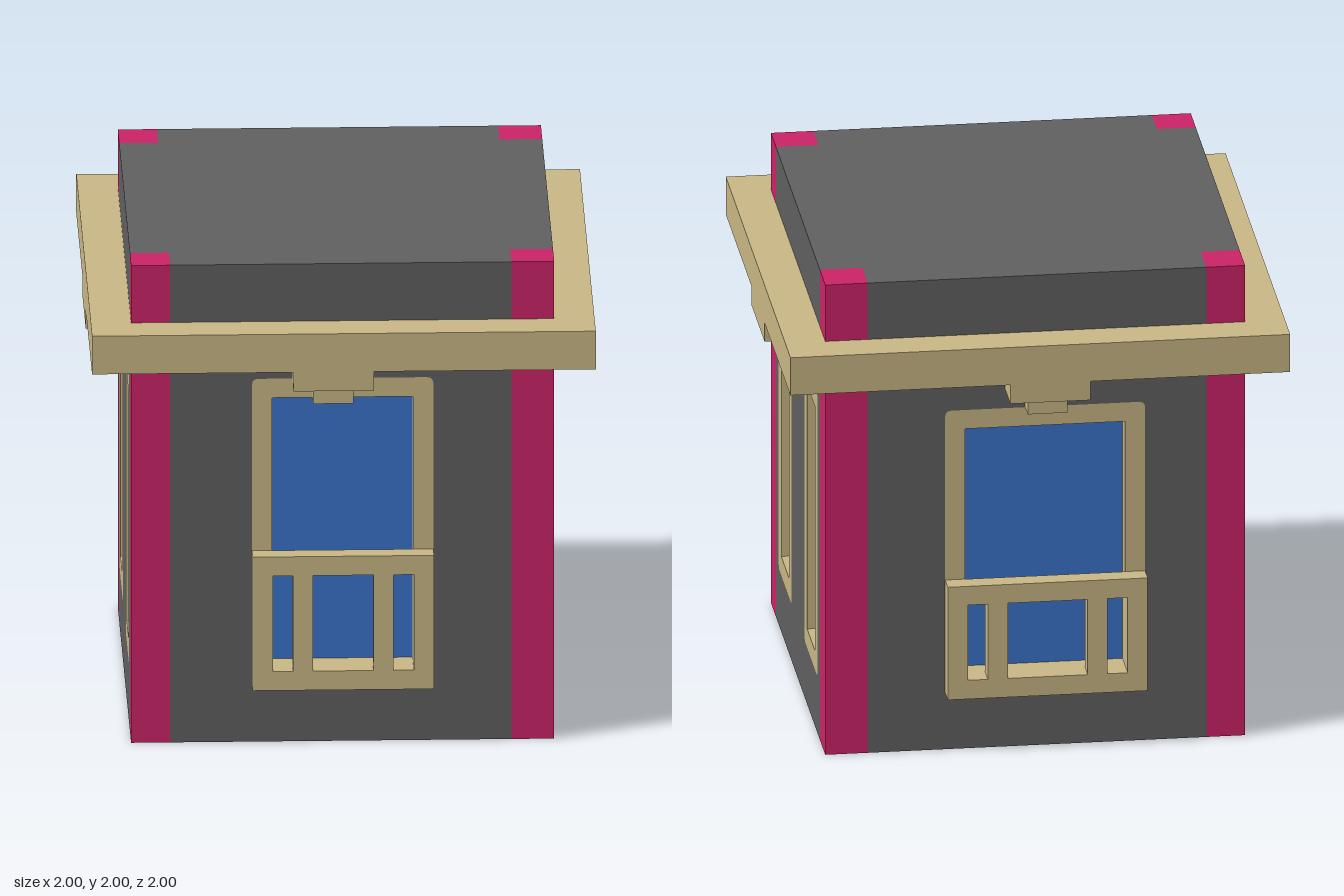
import * as THREE from 'three';

const material = (name, color) => {
  const m = new THREE.MeshStandardMaterial({ color });
  m.name = name;
  return m;
};

export function createModel() {
  const grey = material('wallGrey', 0x606060);
  const pink = material('cornerPink', 0xcc2366);
  const tan = material('trimTan', 0xcab785);
  const blue = material('glassBlue', 0x3b74cd);
  const model = new THREE.Group();
  model.name = 'house';

  const add = (parent, name, geometry, mat) => {
    const mesh = new THREE.Mesh(geometry, mat);
    mesh.name = name;
    parent.add(mesh);
    return mesh;
  };
  // box given by its minimum and maximum corners
  const box = (parent, name, mat, x0, x1, y0, y1, z0, z1) =>
    add(parent, name, new THREE.BoxGeometry(x1 - x0, y1 - y0, z1 - z0), mat)
      .position.set((x0 + x1) / 2, (y0 + y1) / 2, (z0 + z1) / 2);

  // rectangle [x0, x1, y0, y1] with slightly rounded corners
  const outline = ([x0, x1, y0, y1], r = 0, Type = THREE.Shape) => {
    const s = new Type();
    s.moveTo(x0 + r, y0).lineTo(x1 - r, y0);
    if (r) s.quadraticCurveTo(x1, y0, x1, y0 + r);
    s.lineTo(x1, y1 - r);
    if (r) s.quadraticCurveTo(x1, y1, x1 - r, y1);
    s.lineTo(x0 + r, y1);
    if (r) s.quadraticCurveTo(x0, y1, x0, y1 - r);
    s.lineTo(x0, y0 + r);
    if (r) s.quadraticCurveTo(x0, y0, x0 + r, y0);
    return s;
  };
  // plate with holes, from z0 to z1
  const plate = (parent, name, mat, rect, r, holes, holeR, z0, z1) => {
    const shape = outline(rect, r);
    for (const h of holes) shape.holes.push(outline(h, holeR, THREE.Path));
    const g = new THREE.ExtrudeGeometry(shape, { depth: z1 - z0, bevelEnabled: false, curveSegments: 3 });
    add(parent, name, g.translate(0, 0, z0), mat);
  };

  const T = 0.08, R = 0.025, W = 0.84;
  // one face of the house, built facing +z and then turned
  const side = (name, angle, lo, hi, windows, upper, lower, balcony) => {
    const face = new THREE.Group();
    face.name = name;
    face.rotation.y = angle;
    model.add(face);
    plate(face, 'wall', grey, [lo, hi, 0, 2], 0, windows, R, 0.67, W);
    for (const w of windows) {
      const [x0, x1, y0, y1] = w;
      plate(face, 'windowFrame', tan, w, R, [[x0 + T, x1 - T, y0 + T, y1 - T]], 0, W - T, W);
      box(face, 'windowGlass', blue, x0, x1, y0, y1, W - T - 0.008, W - T);
    }
    // stepped bracket below the cornice
    box(face, 'upperBracket', tan, upper[0], upper[1], 1.52, 1.61, W - 0.01, 1);
    box(face, 'lowerBracket', tan, lower[0], lower[1], 1.44, 1.53, W, W + T);
    if (balcony) plate(face, 'balconyRail', tan, balcony.rect, 0, balcony.holes, 0, W, W + T);
  };

  // inner core and corner posts
  box(model, 'core', grey, -0.685, 0.67, 0, 2, -0.67, 0.685);
  for (const [x0, x1] of [[-W, -0.685], [0.67, W]])
    for (const [z0, z1] of [[-W, -0.67], [0.685, W]])
      box(model, 'cornerPost', pink, x0, x1, 0, 2, z0, z1);

  box(model, 'cornice', tan, -1, 1, 1.6, 1.76, -1, 1);

  side('front', 0, -0.685, 0.67, [[-0.36, 0.36, 0.24, 1.52]], [-0.2, 0.12], [-0.12, 0.04], {
    rect: [-0.36, 0.36, 0.24, 0.8],
    holes: [[-0.28, -0.2, 0.32, 0.72], [-0.12, 0.12, 0.32, 0.72], [0.2, 0.28, 0.32, 0.72]],
  });
  side('back', Math.PI, -0.67, 0.685, [[-0.36, 0.44, 0.24, 1.44]], [-0.12, 0.2], [-0.04, 0.12], {
    rect: [-0.36, 0.44, 0.24, 0.72],
    holes: [[-0.28, -0.2, 0.32, 0.64], [-0.12, 0.2, 0.32, 0.64], [0.28, 0.36, 0.32, 0.64]],
  });
  const pair = [[-0.6, -0.2, 0.24, 1.44], [0.2, 0.6, 0.24, 1.44]];
  side('leftSide', Math.PI / 2, -0.685, 0.67, pair, [-0.2, 0.2], [-0.12, 0.12]);
  side('rightSide', -Math.PI / 2, -0.67, 0.685, pair, [-0.2, 0.2], [-0.12, 0.12]);

  return model;
}
